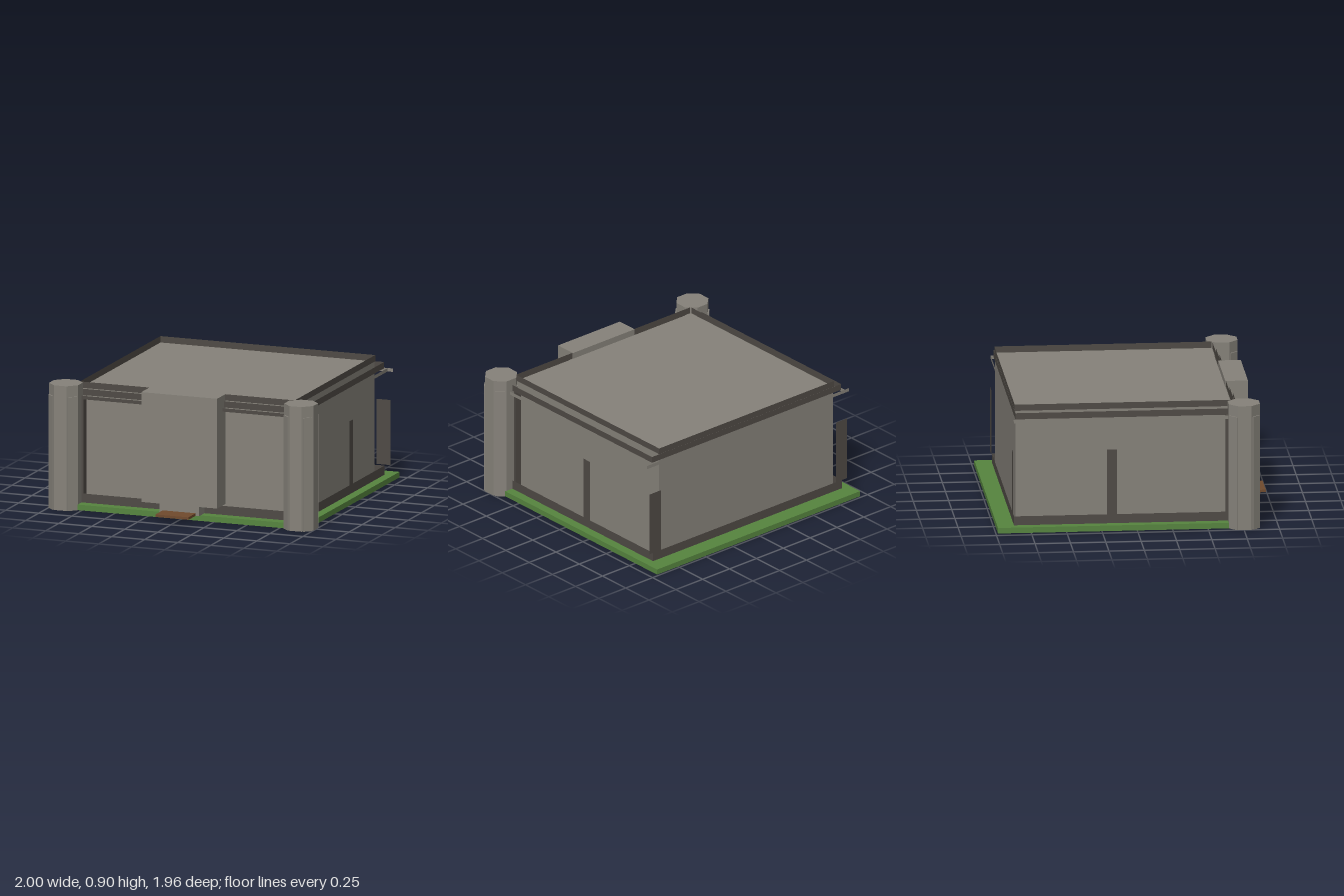
import * as THREE from 'three';

export function createModel() {
  const model = new THREE.Group();
  const mat = (name, color, side = THREE.FrontSide) => {
    const m = new THREE.MeshStandardMaterial({ color, side });
    m.name = name;
    return m;
  };
  const stone = mat('stone', 0x86827a, THREE.DoubleSide);
  const dark = mat('darkStone', 0x4f4a45, THREE.DoubleSide);
  const grass = mat('grass', 0x56853f);
  const wood = mat('wood', 0x704a2d);

  const add = (name, geo, material, parent = model) => {
    const mesh = new THREE.Mesh(geo, material);
    mesh.name = name;
    parent.add(mesh);
    return mesh;
  };
  // Box given by its limits on each axis
  const box = (name, m, x0, x1, y0, y1, z0, z1) => {
    const mesh = add(name, new THREE.BoxGeometry(x1 - x0, y1 - y0, z1 - z0), m);
    mesh.position.set((x0 + x1) / 2, (y0 + y1) / 2, (z0 + z1) / 2);
    return mesh;
  };
  // Upright sheets: one facing along z, one facing along x
  const sheetZ = (name, m, x0, x1, y0, y1, z) => {
    const mesh = add(name, new THREE.PlaneGeometry(x1 - x0, y1 - y0), m);
    mesh.position.set((x0 + x1) / 2, (y0 + y1) / 2, z);
  };
  const sheetX = (name, m, x, y0, y1, z0, z1) => {
    const mesh = add(name, new THREE.PlaneGeometry(z1 - z0, y1 - y0), m);
    mesh.rotation.y = Math.PI / 2;
    mesh.position.set(x, (y0 + y1) / 2, (z0 + z1) / 2);
  };

  // Ground and hall
  box('lawn', grass, -0.945, 0.945, 0, 0.04, -0.985, 0.81);
  box('hall', stone, -0.81, 0.81, 0.04, 0.855, -0.85, 0.68);

  // Gatehouse, threshold and drawbridge
  box('gatehouse', stone, -0.287, 0.287, 0.107, 0.9, 0.68, 0.84);
  box('threshold', stone, -0.15, 0.15, 0.04, 0.107, 0.68, 0.838);
  box('drawbridge', wood, -0.125, 0.125, 0.042, 0.06, 0.84, 0.98);

  // Parapet, cornice, ledge and plinth across front and back
  sheetZ('frontParapet', dark, -0.813, 0.813, 0.855, 0.9, 0.685);
  sheetZ('backParapet', dark, -0.813, 0.813, 0.855, 0.9, -0.855);
  sheetZ('frontCornice', dark, -0.8, 0.8, 0.81, 0.855, 0.71);
  sheetZ('backCornice', dark, -0.88, 0.88, 0.81, 0.855, -0.856);
  sheetZ('frontLedge', dark, -0.78, 0.78, 0.785, 0.81, 0.735);
  sheetZ('backLedge', stone, -0.94, 0.94, 0.785, 0.81, -0.872);
  sheetZ('frontPlinth', dark, -0.78, 0.78, 0.04, 0.105, 0.735);
  sheetZ('backPlinth', dark, -0.88, 0.88, 0.04, 0.105, -0.866);

  for (const s of [-1, 1]) {
    // The same bands along each side
    sheetX('sideParapet', dark, s * 0.813, 0.855, 0.9, -0.855, 0.685);
    sheetX('sideCornice', dark, s * 0.88, 0.81, 0.855, -0.855, 0.7);
    sheetX('sideLedge', stone, s * 0.9, 0.785, 0.81, -0.872, 0.7);
    sheetX('sidePlinth', dark, s * 0.88, 0.04, 0.105, -0.866, 0.7);

    // Narrow upright slabs beside the wall and at the back corner
    sheetX('sideSlab', dark, s * 0.9, 0.11, 0.58, -0.21, -0.14);
    const [a, b] = s > 0 ? [0.815, 0.92] : [-0.92, -0.815];
    sheetZ('backSlab', dark, a, b, 0.11, 0.58, -0.875);

    // Dark pilasters where the tower meets the walls
    const pilaster = (name, x, w, z0, z1) =>
      box(name, dark, s * x - w / 2, s * x + w / 2, 0.04, 0.8, z0, z1);
    pilaster('frontPilaster', 0.775, 0.016, 0.68, 0.735);
    pilaster('sidePilaster', 0.835, 0.055, 0.635, 0.66);

    // Octagonal corner tower with a rib on each diagonal face
    const tower = new THREE.Group();
    tower.name = 'cornerTower';
    tower.position.set(s * 0.89, 0, 0.757);
    model.add(tower);
    const r = 0.11 / Math.cos(Math.PI / 8);
    const shaftGeo = new THREE.CylinderGeometry(r, r, 0.9, 8).toNonIndexed();
    shaftGeo.rotateY(Math.PI / 8);
    shaftGeo.computeVertexNormals();
    add('towerShaft', shaftGeo, stone, tower).position.y = 0.45;
    for (let i = 0; i < 4; i++) {
      const angle = Math.PI / 4 + (i * Math.PI) / 2;
      const rib = add('towerRib', new THREE.BoxGeometry(0.07, 0.82, 0.02), stone, tower);
      rib.position.set(Math.sin(angle) * 0.109, 0.41, Math.cos(angle) * 0.109);
      rib.rotation.y = angle;
    }
  }
  return model;
}
